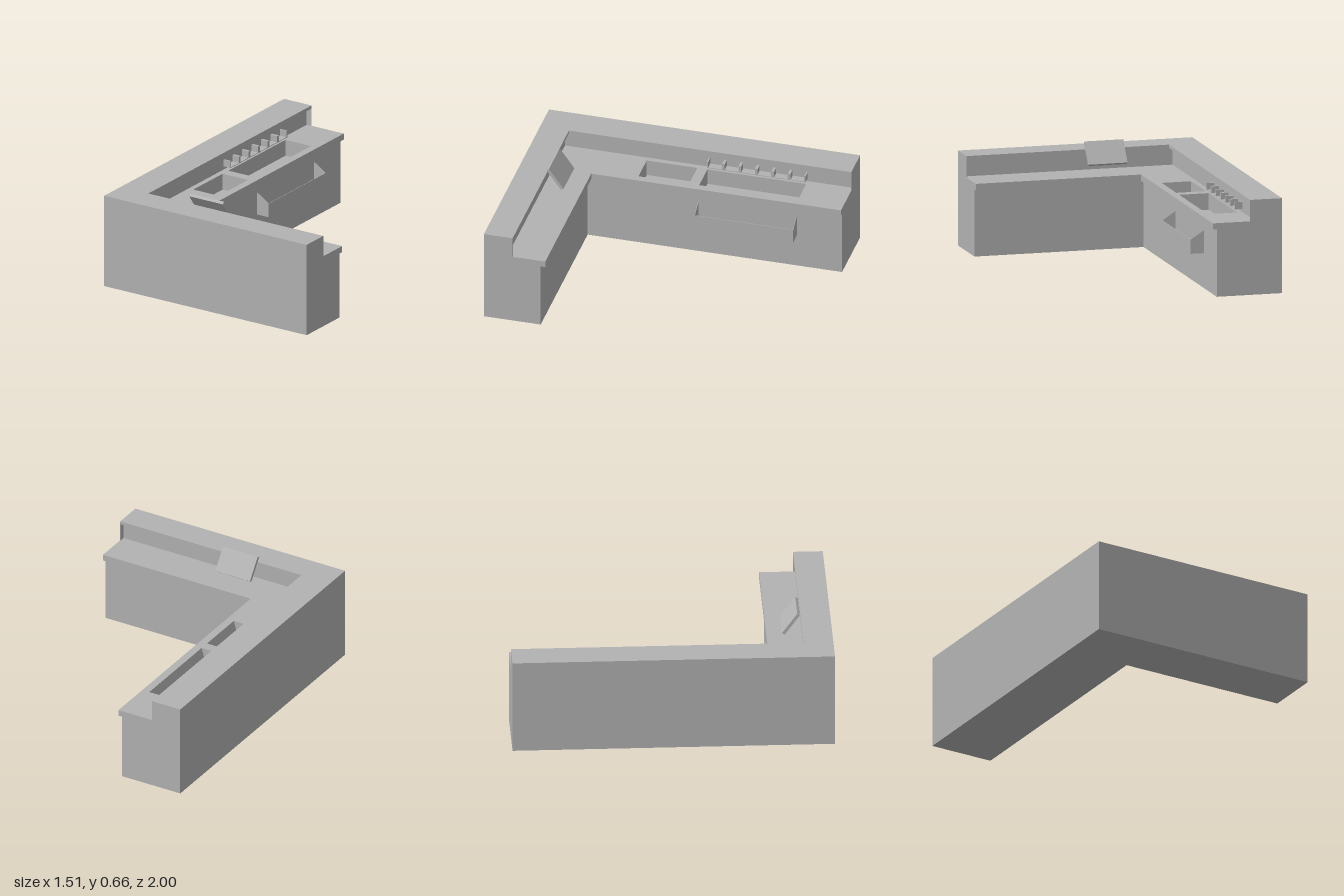
import * as THREE from 'three';

export function createModel() {
  const model = new THREE.Group();
  const grey = new THREE.MeshStandardMaterial({ color: 0xb2b2b2 });
  grey.name = 'counterGrey';

  function add(name, geometry, parent = model) {
    const mesh = new THREE.Mesh(geometry, grey);
    mesh.name = name;
    parent.add(mesh);
    return mesh;
  }
  function box(name, x0, x1, y0, y1, z0, z1, parent) {
    const m = add(name, new THREE.BoxGeometry(x1 - x0, y1 - y0, z1 - z0), parent);
    m.position.set((x0 + x1) / 2, (y0 + y1) / 2, (z0 + z1) / 2);
    return m;
  }
  const points = (list) => list.map(([a, b]) => new THREE.Vector2(a, b));

  // Sink openings in plan: both share the same x range
  const SX0 = -0.55, SX1 = -0.36, FLOOR = 0.36;
  const sinks = [[-0.71, -0.075], [-0.01, 0.315]];

  // L-shaped layer in plan, inner corner at (ix, iz), optionally cut by the sinks
  function layer(name, ix, iz, y0, y1, cut) {
    const shape = new THREE.Shape(points([
      [-0.755, -1], [0.755, -1], [0.755, -iz], [ix, -iz], [ix, 1], [-0.755, 1],
    ]));
    if (cut) {
      for (const [z0, z1] of sinks) {
        shape.holes.push(new THREE.Path(points([[SX0, -z0], [SX1, -z0], [SX1, -z1], [SX0, -z1]])));
      }
    }
    const g = new THREE.ExtrudeGeometry(shape, { depth: y1 - y0, bevelEnabled: false });
    g.rotateX(-Math.PI / 2).translate(0, y0, 0);
    return add(name, g);
  }
  // Profile in x-y, extruded along z
  function prism(name, profile, z0, z1, parent) {
    const g = new THREE.ExtrudeGeometry(new THREE.Shape(points(profile)), { depth: z1 - z0, bevelEnabled: false });
    g.translate(0, 0, z0);
    return add(name, g, parent);
  }

  // Counter body, worktop, raised back wall and its overhanging ledge
  layer('counterBase', -0.335, 0.635, 0, FLOOR, false);
  layer('counterUpperBody', -0.335, 0.635, FLOOR, 0.425, true);
  layer('worktop', -0.31, 0.605, 0.425, 0.465, true);
  layer('raisedWall', -0.585, 0.85, 0.465, 0.58, false);
  layer('ledge', -0.55, 0.815, 0.58, 0.6, false);

  // Thin end panels closing the recess under the ledge
  box('ledgeEndPanelBack', -0.585, -0.55, 0.465, 0.58, -1, -0.997);
  box('ledgeEndPanelSide', 0.752, 0.755, 0.465, 0.58, 0.815, 0.85);

  // Sloped inner side of each sink
  for (const [z0, z1] of sinks) {
    prism('sinkSlope', [[-0.39, FLOOR], [SX1, FLOOR], [SX1, 0.465]], z0, z1);
  }

  // Open trough on the working side
  const rail = new THREE.Group();
  rail.name = 'bottleRail';
  model.add(rail);
  const t = 0.003, [rz0, rz1] = sinks[0];
  box('railBottom', -0.335, -0.25, 0.22, 0.22 + t, rz0, rz1, rail);
  box('railFront', -0.25 - t, -0.25, 0.22, 0.31, rz0, rz1, rail);
  const cheek = [[-0.335, 0.22], [-0.25, 0.22], [-0.25, 0.31], [-0.335, 0.365]];
  prism('railEnd', cheek, rz0, rz0 + t, rail);
  prism('railEnd', cheek, rz1 - t, rz1, rail);

  // Row of six small bins on the raised wall
  const bins = new THREE.Group();
  bins.name = 'garnishBins';
  model.add(bins);
  box('binShelf', -0.585, -0.535, 0.485, 0.489, rz0, rz1, bins);
  const pitch = (rz1 - rz0) / 6;
  for (let i = 0; i <= 6; i++) {
    const w = i % 6 === 0 ? 0.009 : 0.018;
    const z = rz0 + i * pitch - (i === 0 ? 0 : i === 6 ? w : w / 2);
    prism('binDivider', [[-0.585, 0.487], [-0.535, 0.487], [-0.535, 0.53], [-0.585, 0.53]], z, z + w, bins);
  }

  // Tilted screen leaning toward the ledge
  const screen = add('screen', new THREE.BoxGeometry(0.25, 0.16, 0.02));
  screen.position.set(-0.125, 0.585, 0.752);
  screen.rotation.x = Math.atan2(0.095, 0.13);

  return model;
}
